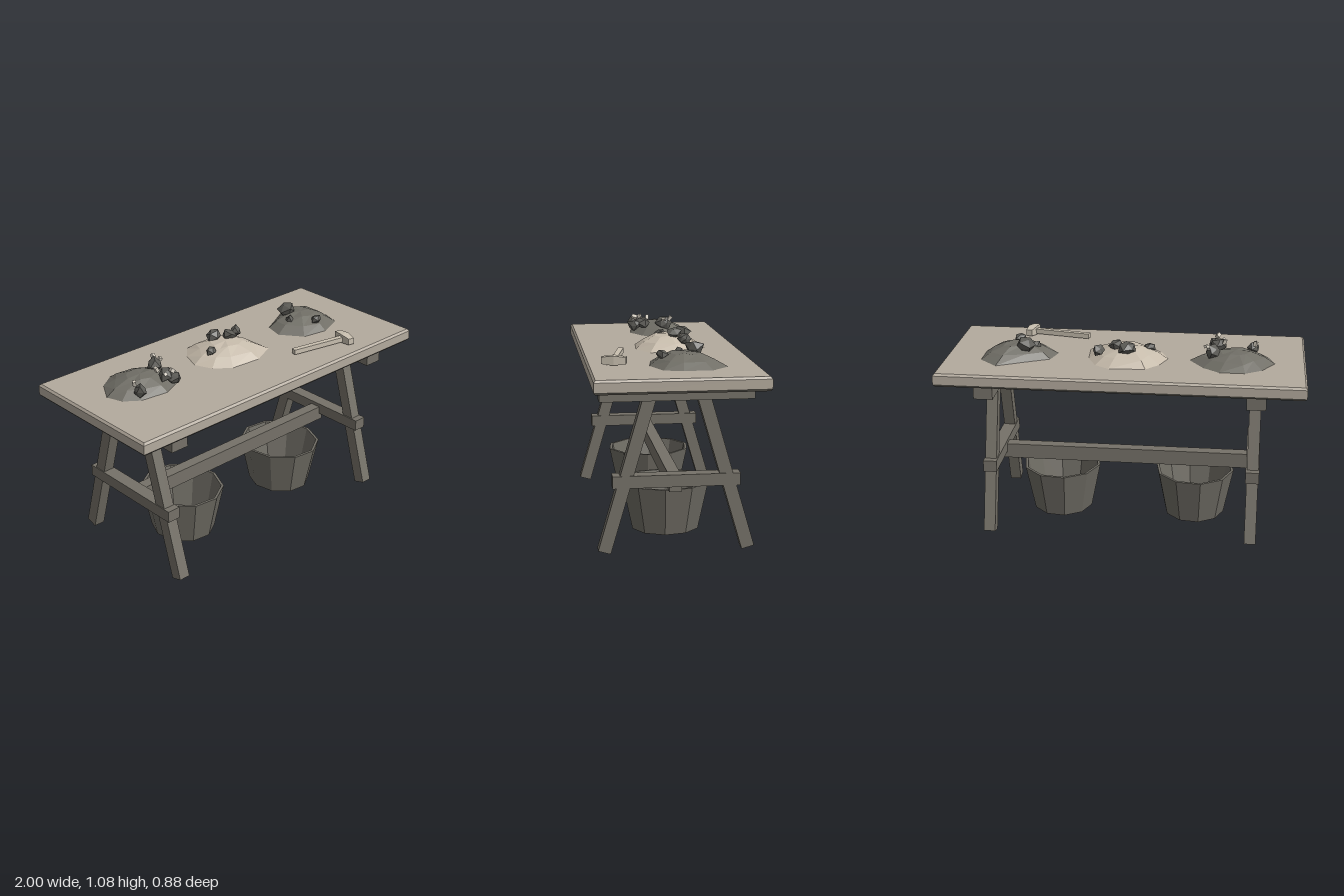
import * as THREE from 'three';

const mat = (name, color) => Object.assign(new THREE.MeshStandardMaterial({ color, flatShading: true }), { name });

export function createModel() {
  const tableWood = mat('pale table wood', 0xb3aa9d);
  const darkWood = mat('grey wood', 0x757168);
  const bucketWood = mat('bucket wood', 0x6f6c64);
  const darkOre = mat('dark gravel', 0x706e66);
  const paleOre = mat('pale gravel', 0xc6bbab);
  const stone = mat('dark stone', 0x5c5b56);
  const hammerMat = mat('pale hammer', 0xc9c0b0);
  const crystalMat = mat('light crystal', 0xcdc6b9);

  const model = new THREE.Group();
  model.name = 'oreSortingTable';

  function add(name, geo, material, x = 0, y = 0, z = 0, parent = model) {
    const m = new THREE.Mesh(geo, material);
    m.name = name;
    m.position.set(x, y, z);
    parent.add(m);
    return m;
  }
  const box = (w, h, d) => new THREE.BoxGeometry(w, h, d);
  const flat = (geo) => {
    const g = geo.index ? geo.toNonIndexed() : geo;
    g.computeVertexNormals();
    return g;
  };

  // Box whose top (side = 1) or bottom (side = -1) is drawn in by an inset
  function bevelBox(w, h, d, inset, side) {
    const g = box(w, h, d), p = g.attributes.position;
    for (let i = 0; i < p.count; i++) {
      if (p.getY(i) * side < 0) continue;
      p.setX(i, p.getX(i) - Math.sign(p.getX(i)) * inset);
      p.setZ(i, p.getZ(i) - Math.sign(p.getZ(i)) * inset);
    }
    return flat(g);
  }

  // Table top with bevelled edges and a dark underside
  add('tabletop', box(2, 0.05, 0.884), tableWood, 0, 0.929, 0);
  add('tabletopUpperBevel', bevelBox(2, 0.012, 0.884, 0.01, 1), tableWood, 0, 0.96, 0);
  add('tabletopUnderside', bevelBox(2, 0.012, 0.884, 0.01, -1), darkWood, 0, 0.898, 0);

  // Trestles: batten, splayed legs, cross rail
  for (const s of [-1, 1]) {
    add('batten', box(0.105, 0.08, 0.8), darkWood, s * 0.737, 0.855, 0);
    add('crossRail', box(0.075, 0.065, 0.666), darkWood, s * 0.732, 0.388, 0);
    for (const f of [-1, 1]) {
      const leg = add(f > 0 ? 'frontLeg' : 'backLeg', box(0.064, 0.882, 0.068), darkWood, s * 0.733, 0.437, f * 0.254);
      leg.rotation.x = -f * 0.2846;
    }
  }
  add('stretcher', box(1.44, 0.085, 0.066), darkWood, 0, 0.358, 0);

  // Ten-sided hollow buckets
  const bucketProfile = [[0, 0.025], [0.188, 0.025], [0.246, 0.29], [0.23, 0.29], [0.177, 0.05], [0, 0.05]]
    .map(([r, y]) => new THREE.Vector2(r, y));
  for (const x of [-0.4, 0.375]) {
    const b = add('bucket', flat(new THREE.LatheGeometry(bucketProfile, 10, 0.2)), bucketWood, x, 0, 0.01);
    b.scale.x = 0.92;
  }

  // Gravel heaps: an uneven outline drawn in towards a low peak
  function heap(name, material, cx, cz, outline, height) {
    const n = outline.length, base = 0.966, verts = [], idx = [];
    const levels = [[1, 0], [0.72, 0.5], [0.38, 0.9]];
    levels.forEach(([k, h], l) => outline.forEach(([x, z], i) => {
      const wobble = l ? 1 + 0.08 * Math.sin(i * 2.4 + l * 1.7) : 1;
      verts.push(cx + (x - cx) * k * wobble, base + h * height * (l ? 2 - wobble : 1), cz + (z - cz) * k * wobble);
    }));
    verts.push(cx, base + height, cz);
    for (let i = 0; i < n; i++) {
      const j = (i + 1) % n;
      for (let l = 0; l < 2; l++) {
        const a = l * n + i, b = l * n + j;
        idx.push(a, a + n, b, b, a + n, b + n);
      }
      idx.push(2 * n + i, 3 * n, 2 * n + j);
    }
    const g = new THREE.BufferGeometry();
    g.setAttribute('position', new THREE.Float32BufferAttribute(verts, 3));
    g.setIndex(idx);
    add(name, flat(g), material);
  }
  // Outlines run clockwise as seen from above
  heap('rightHeap', darkOre, -0.615, -0.06, [[-0.67, -0.25], [-0.53, -0.25], [-0.44, -0.18], [-0.36, -0.06],
    [-0.43, 0.04], [-0.56, 0.1], [-0.72, 0.08], [-0.8, 0.02], [-0.83, -0.07], [-0.76, -0.19]], 0.07);
  heap('middleHeap', paleOre, -0.01, -0.05, [[-0.13, -0.24], [0.07, -0.255], [0.15, -0.2], [0.2, -0.09],
    [0.21, 0.07], [0.07, 0.135], [-0.11, 0.12], [-0.2, 0.05], [-0.24, -0.05], [-0.2, -0.16]], 0.076);
  heap('leftHeap', darkOre, 0.6, -0.06, [[0.53, -0.19], [0.69, -0.275], [0.79, -0.18], [0.79, -0.03],
    [0.765, 0.07], [0.62, 0.125], [0.47, 0.1], [0.38, -0.02], [0.41, -0.13]], 0.072);

  // Lumpy stones: each corner is pushed in or out by a repeatable rule
  function rock(name, material, x, y, z, r, seed, squash = 0.85) {
    const g = new THREE.IcosahedronGeometry(r, 0), p = g.attributes.position, v = new THREE.Vector3();
    for (let i = 0; i < p.count; i++) {
      v.fromBufferAttribute(p, i);
      const q = v.clone().divideScalar(r);
      const k = 1 + 0.22 * Math.sin(q.x * 5.1 + q.y * 3.7 + q.z * 7.3 + seed * 2.1);
      p.setXYZ(i, v.x * k, v.y * k * squash, v.z * k);
    }
    add(name, flat(g), material, x, y, z).rotation.y = seed;
  }
  [
    [-0.485, 1.035, -0.095, 0.045], [-0.515, 1.035, 0.035, 0.05], [-0.495, 1.02, 0.085, 0.04], [-0.71, 1.015, 0.06, 0.038],
    [-0.02, 1.05, -0.135, 0.05], [0.045, 1.045, -0.085, 0.042], [0.14, 1.03, -0.13, 0.035], [-0.135, 1.025, -0.03, 0.033],
    [0.55, 1.04, -0.12, 0.052], [0.5, 1.015, -0.05, 0.03], [0.61, 1.025, 0.06, 0.034],
  ].forEach(([x, y, z, r], i) => rock('stone', stone, x, y, z, r, i + 1));

  // Small pale crystals on the right heap
  [
    [-0.55, 1.06, 0.0, 0.014], [-0.51, 1.07, 0.08, 0.016], [-0.465, 1.065, -0.13, 0.014],
    [-0.72, 1.045, 0.025, 0.014], [-0.54, 1.05, 0.06, 0.013], [-0.45, 1.06, -0.09, 0.012],
  ].forEach(([x, y, z, r], i) => {
    add('crystal', box(r * 1.3, r * 2, r * 1.3), crystalMat, x, y, z).rotation.set(i, i * 0.7, 0.4);
  });

  // Hammer lying on the table
  const hammer = new THREE.Group();
  hammer.name = 'hammer';
  hammer.position.set(0.585, 0.994, 0.305);
  hammer.rotation.y = -0.2;
  model.add(hammer);
  add('hammerHandle', box(0.37, 0.028, 0.03), hammerMat, -0.165, -0.003, 0, hammer);
  for (const s of [-1, 1]) {
    const half = add('hammerHead', bevelBox(0.05, 0.065, 0.05, 0.007, 1), hammerMat, 0, 0, s * 0.0325, hammer);
    half.rotation.x = s * Math.PI / 2;
  }

  return model;
}
